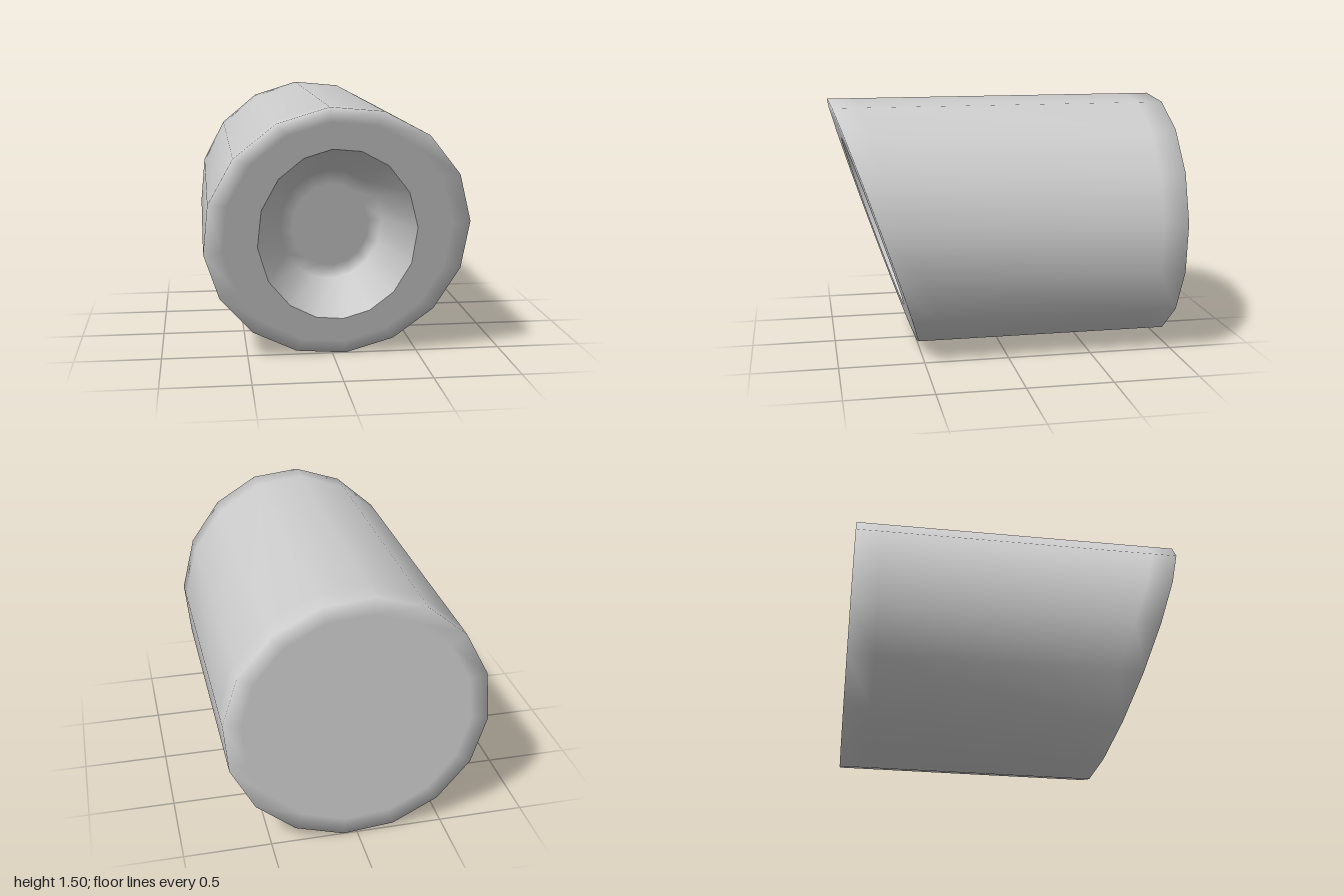
import * as THREE from 'three';

const SIDES = 16, R = 0.752;
const faceZ = (y) => 0.75 + 0.25 * y / R; // slanted front plane

// Round ring at one depth, or following the slanted front at an offset
const flatRing = (r, z) => (a) => [r * Math.sin(a), r * Math.cos(a), z];
const slantRing = (r, dz) => (a) => [r * Math.sin(a), r * Math.cos(a), faceZ(r * Math.cos(a)) + dz];

// Oval opening ring, parallel to the slanted front
const ovalRing = (s, dz) => (a) => {
  const b = a - 0.056 * Math.sin(2 * a);
  const y = 0.52 * s * Math.cos(b);
  return [0.452 * s * Math.sin(b), y, faceZ(y) + dz];
};
const mixRing = (f, g, t) => (a) => {
  const p = f(a), q = g(a);
  return p.map((v, i) => v + (q[i] - v) * t);
};

// Smooth skin through a list of rings
function loft(name, rings, material) {
  const pos = [], index = [];
  rings.forEach((ring, j) => {
    for (let k = 0; k < SIDES; k++) {
      pos.push(...ring(k / SIDES * Math.PI * 2));
      if (j === rings.length - 1) continue;
      const n = (k + 1) % SIDES;
      const a = j * SIDES + k, b = j * SIDES + n, c = a + SIDES, d = b + SIDES;
      index.push(a, c, b, b, c, d);
    }
  });
  const geo = new THREE.BufferGeometry();
  geo.setAttribute('position', new THREE.Float32BufferAttribute(pos, 3));
  geo.setIndex(index);
  geo.computeVertexNormals();
  const mesh = new THREE.Mesh(geo, material);
  mesh.name = name;
  return mesh;
}

export function createModel() {
  const group = new THREE.Group();
  group.name = 'slantedCylinder';
  const mat = new THREE.MeshStandardMaterial({ color: 0xcccccc });
  const rim = slantRing(R, 0), opening = ovalRing(1, 0);

  const parts = new THREE.Group();
  parts.name = 'cylinderParts';
  // Back cap, side wall and front lip, with support loops near the edges
  parts.add(loft('body', [
    flatRing(0, -1), flatRing(0.65, -1), flatRing(R, -1), flatRing(R, -0.85),
    slantRing(R, -0.15), rim, mixRing(rim, opening, 0.35), opening,
  ], mat));
  // Tapered recess with its floor
  parts.add(loft('recess', [
    opening, ovalRing(0.67, -0.35), ovalRing(0.5, -0.35), ovalRing(0, -0.35),
  ], mat));
  parts.rotation.z = THREE.MathUtils.degToRad(6);
  parts.position.y = R;
  group.add(parts);
  return group;
}
